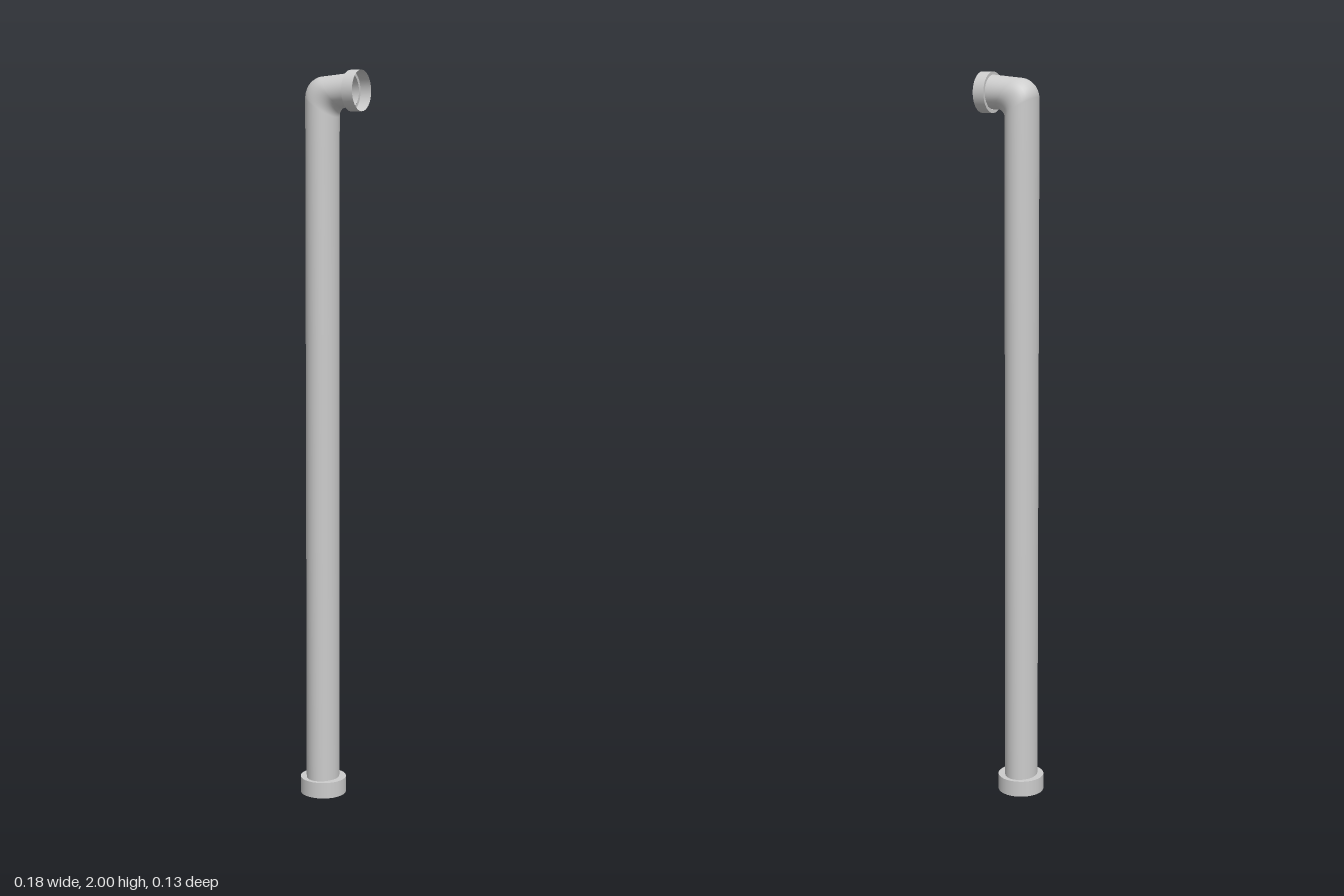
import * as THREE from 'three';

const SIDES = 32;
const material = new THREE.MeshStandardMaterial({ color: 0xcccccc, side: THREE.DoubleSide });

// Tube skin through oval sections, each spanning an outer and an inner point in the xy plane
function sectionTube(sections) {
  const positions = [], index = [];
  for (const { outer, inner, depth } of sections) {
    for (let i = 0; i < SIDES; i++) {
      const a = (i / SIDES) * Math.PI * 2;
      const p = outer.clone().lerp(inner, (1 - Math.cos(a)) / 2);
      positions.push(p.x, p.y, depth * Math.sin(a));
    }
  }
  for (let r = 0; r < sections.length - 1; r++) {
    for (let i = 0; i < SIDES; i++) {
      const a = r * SIDES + i, b = r * SIDES + (i + 1) % SIDES;
      const c = a + SIDES, d = b + SIDES;
      index.push(a, b, c, b, d, c);
    }
  }
  const geometry = new THREE.BufferGeometry();
  geometry.setAttribute('position', new THREE.Float32BufferAttribute(positions, 3));
  geometry.setIndex(index);
  geometry.computeVertexNormals();
  return geometry;
}

// Open socket along +y, with a flat shoulder at its start that meets the pipe
function collar(name, radius, bore, length) {
  const group = new THREE.Group();
  group.name = name;
  const wall = new THREE.Mesh(new THREE.CylinderGeometry(radius, radius, length, SIDES, 1, true), material);
  wall.name = name + 'Wall';
  wall.position.y = length / 2;
  const shoulder = new THREE.Mesh(new THREE.RingGeometry(bore, radius, SIDES), material);
  shoulder.name = name + 'Shoulder';
  shoulder.rotation.x = Math.PI / 2;
  group.add(wall, shoulder);
  return group;
}

export function createModel() {
  const model = new THREE.Group();
  model.name = 'elbowPipe';
  const v = (x, y) => new THREE.Vector2(x, y);

  // Long straight run
  const sections = [0.045, 0.7, 1.3, 1.8].map(y => ({ outer: v(-0.072, y), inner: v(0.016, y), depth: 0.052 }));

  // Bend: tight outer and inner arcs swept together
  const steps = 12;
  for (let i = 0; i <= steps; i++) {
    const t = i / steps, a = t * Math.PI / 2;
    sections.push({
      outer: v(-0.02 - 0.052 * Math.cos(a), 1.935 + 0.05 * Math.sin(a)),
      inner: v(0.041 - 0.025 * Math.cos(a), 1.877 + 0.025 * Math.sin(a)),
      depth: 0.052 - 0.003 * t,
    });
  }
  // Short outlet
  sections.push({ outer: v(0.058, 1.992), inner: v(0.058, 1.902), depth: 0.046 });

  const pipe = new THREE.Mesh(sectionTube(sections), material);
  pipe.name = 'pipe';
  model.add(pipe);

  // Bottom socket, opening downwards
  const base = collar('baseCollar', 0.064, 0.044, 0.045);
  base.rotation.x = Math.PI;
  base.position.set(-0.027, 0.045, 0);
  model.add(base);

  // Outlet socket, opening sideways
  const outlet = collar('outletCollar', 0.054, 0.045, 0.032);
  outlet.rotation.z = -Math.PI / 2;
  outlet.position.set(0.058, 1.946, 0);
  model.add(outlet);

  return model;
}
